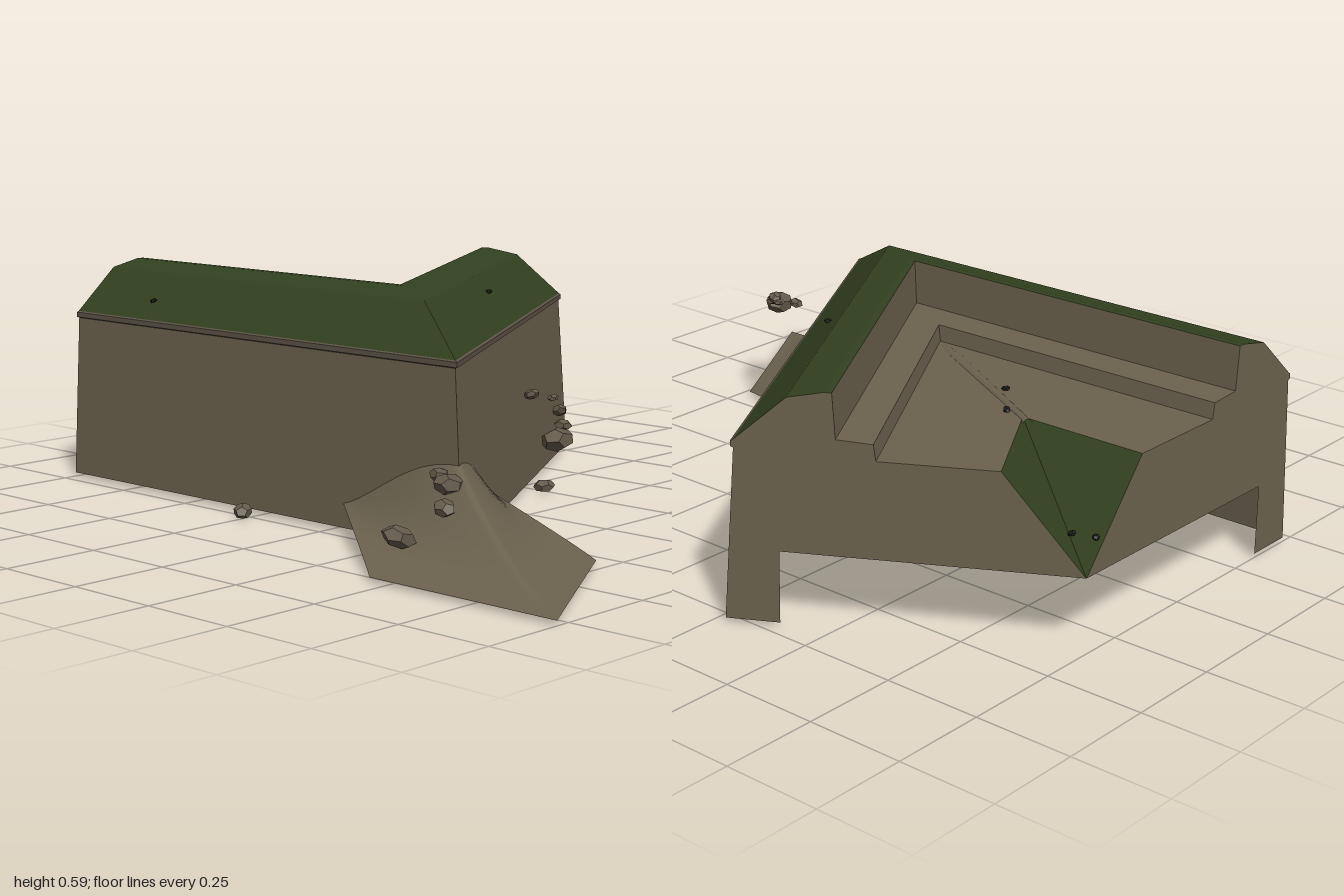
import * as THREE from 'three';

// The work is an open shell, so its surfaces show from both sides
const mat = (name, color) => {
  const m = new THREE.MeshStandardMaterial({ color, side: THREE.DoubleSide });
  m.name = name;
  return m;
};

// Salient corner of the 60 degree work, and the depth at which both faces meet
const CX = 0.44, CZ = 0.463, DEPTH = 0.831;
const C30 = Math.cos(Math.PI / 6), S30 = 0.5;
const { lerp, clamp } = THREE.MathUtils;

// Mirror a point across the axis of the work
const mirror = ([x, y, z]) => {
  const rx = x - CX, rz = z - CZ;
  return [CX + rx * 0.5 + rz * C30, y, CZ + rx * C30 - rz * 0.5];
};
// Profile point (inward distance d, height y) at the first cut, the mitre and the second cut
const atCut = ([d, y]) => [-1, y, CZ - d];
const atMitre = ([d, y]) => [CX - d * Math.sqrt(3), y, CZ - d];
const atFarCut = (p) => mirror(atCut(p));

function meshFrom(name, positions, material) {
  const g = new THREE.BufferGeometry();
  g.setAttribute('position', new THREE.Float32BufferAttribute(positions.flat(), 3));
  g.computeVertexNormals();
  const mesh = new THREE.Mesh(g, material);
  mesh.name = name;
  return mesh;
}

// Sweep a piece of the profile along both faces
function sweep(name, profile, material) {
  const tris = [];
  for (let i = 0; i < profile.length - 1; i++) {
    const p = profile[i], q = profile[i + 1];
    for (const [a, b] of [[atCut, atMitre], [atMitre, atFarCut]]) {
      tris.push(a(p), b(p), b(q), a(p), b(q), a(q));
    }
  }
  return meshFrom(name, tris, material);
}

// Close a cut end with the full profile
function endCap(name, profile, far, material) {
  const flat = new THREE.ShapeGeometry(
    new THREE.Shape(profile.map(([d, y]) => new THREE.Vector2(-d, y)))).toNonIndexed();
  const pos = flat.attributes.position, tris = [];
  for (let i = 0; i < pos.count; i += 3) {
    for (const k of far ? [0, 2, 1] : [0, 1, 2]) {
      const p = [-pos.getX(i + k), pos.getY(i + k)];
      tris.push(far ? atFarCut(p) : atCut(p));
    }
  }
  return meshFrom(name, tris, material);
}

// Smooth tongue of earth running out from under the platform past the salient:
// u runs outwards along the axis, v across it
function earthSpill(material) {
  const N = 40, M = 32, BACK = -1.3, TIP = 0.645;
  const g = new THREE.PlaneGeometry(1, 1, M, N);
  const pos = g.attributes.position;
  for (let j = 0; j <= N; j++) {
    for (let i = 0; i <= M; i++) {
      const t = j / N, s = 1 - (2 * i) / M;
      const u = lerp(BACK, TIP - 0.477 * Math.abs(s), t);
      const v = lerp(0.055, 0.27, t) * s;
      const r = lerp(BACK, TIP, t);
      const ridge = r > 0
        ? 0.01 + 0.19 * Math.pow(clamp(1 - r / TIP, 0, 1), 1.6)
        : 0.2 + 0.235 * Math.sin((Math.min(-r / 0.82, 1) * Math.PI) / 2);
      const edge = 0.01 + 0.15 * Math.pow(1 - t, 0.87);
      const bump = Math.pow(Math.max(0, Math.cos((s * Math.PI) / 2)), lerp(0.5, 1.7, t));
      pos.setXYZ(j * (M + 1) + i,
        CX + u * C30 - v * S30, edge + (ridge - edge) * bump, CZ + u * S30 + v * C30);
    }
  }
  g.computeVertexNormals();
  const mesh = new THREE.Mesh(g, material);
  mesh.name = 'earthSpill';
  return mesh;
}

// Stones given as x, y, z, radius
function stones(name, list, material) {
  const group = new THREE.Group();
  group.name = name;
  list.forEach(([x, y, z, r], i) => {
    const stone = new THREE.Mesh(new THREE.DodecahedronGeometry(r, 0), material);
    stone.name = 'stone';
    stone.scale.set(1.1, 0.65, 0.9);
    stone.rotation.set(0.3 * Math.sin(i * 2.1), i * 1.3, 0.3 * Math.cos(i * 1.7));
    stone.position.set(x, y, z);
    group.add(stone);
  });
  return group;
}

export function createModel() {
  const earth = mat('packed earth', 0x6b624e);
  const grass = mat('grass', 0x32411f);
  const coping = mat('coping stone', 0x5f5447);
  const rock = mat('loose rock', 0x645a4a);
  const dark = mat('dark pebble', 0x1c1c18);

  // Cross-section pieces, from the foot of the wall up and inwards
  const wall = [[0, 0.01], [0.026, 0.437]];
  const cordon = [[0.026, 0.437], [0.019, 0.44], [0.019, 0.453], [0.025, 0.456]];
  const parapet = [[0.025, 0.456], [0.15, 0.567], [0.235, 0.585], [0.254, 0.585]];
  const walk = [[0.254, 0.585], [0.262, 0.475], [0.348, 0.47], [0.354, 0.43], [0.635, 0.43]];
  const backSlope = [[0.635, 0.43], [DEPTH, 0.19]];
  const footing = [[DEPTH, 0.19], [0.13, 0.19], [0.13, 0.01], [0, 0.01]];
  const outline = [wall, cordon, parapet, walk, backSlope, footing].flatMap((p) => p.slice(0, -1));

  const model = new THREE.Group();
  model.name = 'bastion';
  model.add(
    sweep('outerWall', wall, earth),
    sweep('cordon', cordon, coping),
    sweep('grassParapet', parapet, grass),
    sweep('firingStepAndPlatform', walk, earth),
    sweep('grassBackSlope', backSlope, grass),
    endCap('rightEnd', outline, false, earth),
    endCap('backEnd', outline, true, earth),
    earthSpill(earth),
    // Rubble on and around the spill
    stones('rubble', [
      [0.46, 0.36, 0.24, 0.019], [0.51, 0.355, 0.22, 0.013], [0.58, 0.34, 0.28, 0.02],
      [0.62, 0.315, 0.315, 0.02], [0.645, 0.29, 0.365, 0.043], [0.38, 0.185, 0.47, 0.028],
      [0.43, 0.175, 0.495, 0.04], [0.468, 0.135, 0.555, 0.029], [0.415, 0.075, 0.65, 0.04],
      [-0.255, 0.018, 0.52, 0.027], [0.1, 0.018, -0.235, 0.027],
    ], rock),
    // Pebbles scattered on the grass and the platform
    stones('pebbles', [
      [-0.74, 0.5, 0.39, 0.01], [-0.05, 0.53, -0.18, 0.01], [-0.61, 0.435, -0.17, 0.01],
      [-0.52, 0.435, -0.06, 0.01], [-0.98, 0.265, -0.31, 0.01], [-0.92, 0.26, -0.32, 0.01],
    ], dark),
  );
  return model;
}
